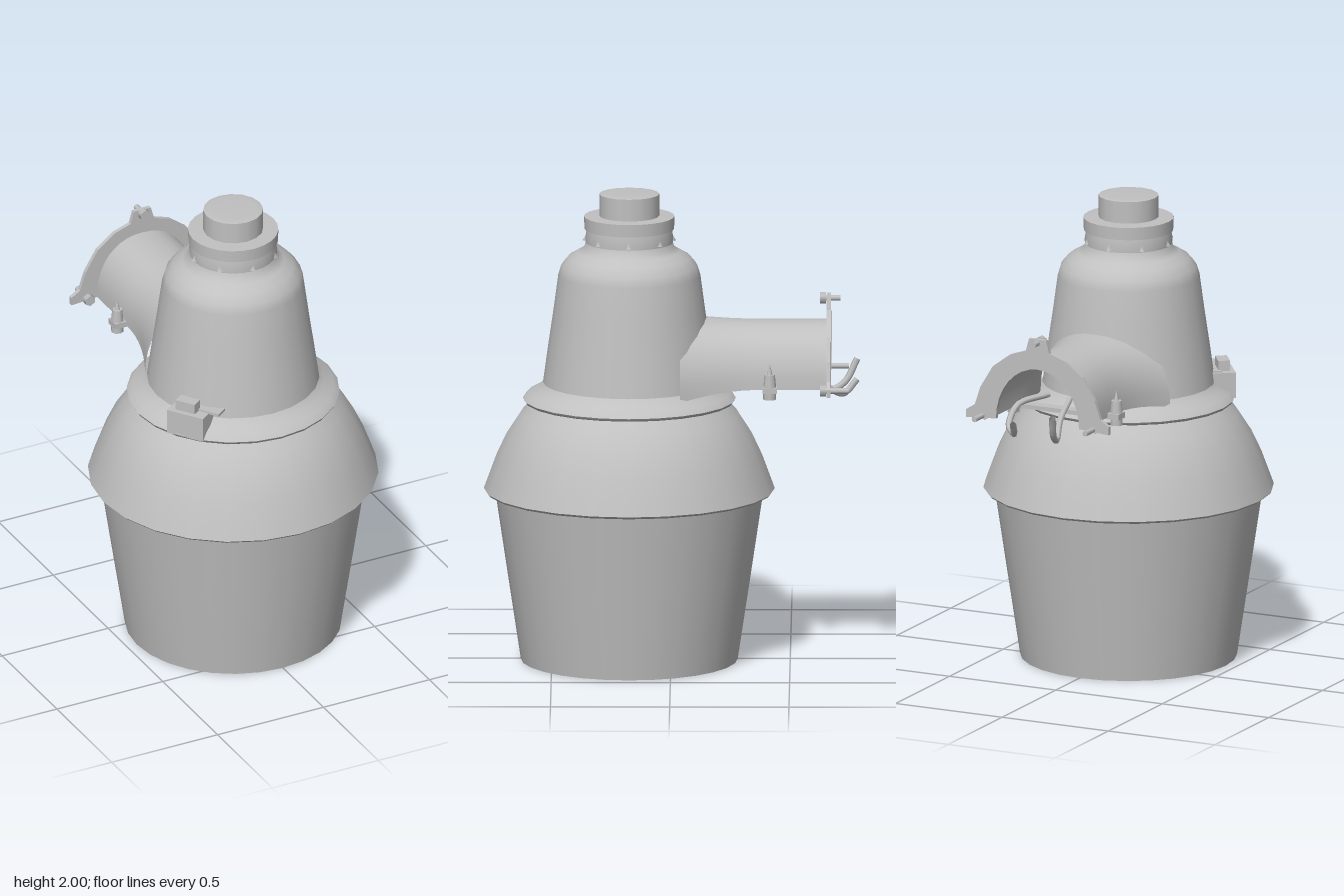
import * as THREE from 'three';

const AXIS_Z = 0.175; // the lamp hangs forward of the mounting flange

export function createModel() {
  const model = new THREE.Group();
  model.name = 'yardLamp';
  const grey = new THREE.MeshStandardMaterial({ color: 0xc0c0c0, side: THREE.DoubleSide });
  grey.name = 'grey metal';

  const add = (name, geometry, x = 0, y = 0, z = 0, parent = model) => {
    const mesh = new THREE.Mesh(geometry, grey);
    mesh.name = name;
    mesh.position.set(x, y, z);
    parent.add(mesh);
    return mesh;
  };
  const turned = (name, profile, sides = 24) =>
    add(name, new THREE.LatheGeometry(profile.map(p => new THREE.Vector2(...p)), sides), 0, 0, AXIS_Z);

  // Lens cup, open at the bottom
  turned('lens', [[0.455, 0.005], [0.51, 0.37], [0.565, 0.74]], 28);

  // Domed reflector hood with a turned-in rim
  turned('hoodRim', [[0.56, 0.735], [0.6, 0.725], [0.61, 0.735]]);
  turned('hood', [[0.61, 0.735], [0.59, 0.79], [0.557, 0.88], [0.515, 0.97], [0.46, 1.055], [0.4, 1.115]]);

  // Ballast housing with a skirt below and rounded shoulder above
  turned('skirtUnderside', [[0.36, 1.11], [0.44, 1.11], [0.447, 1.122]]);
  turned('skirt', [[0.447, 1.122], [0.425, 1.145], [0.385, 1.165], [0.362, 1.19]]);
  turned('housing', [[0.362, 1.19], [0.34, 1.35], [0.318, 1.5], [0.298, 1.65], [0.286, 1.69],
    [0.255, 1.727], [0.215, 1.75], [0.19, 1.765], [0.18, 1.8]]);

  // Photocell socket, collar and cap
  turned('socketNeck', [[0.18, 1.76], [0.185, 1.805], [0.178, 1.85]]);
  turned('collarUnderside', [[0.165, 1.846], [0.188, 1.846]]);
  turned('collar', [[0.188, 1.846], [0.19, 1.9]]);
  turned('collarTop', [[0.19, 1.9], [0.12, 1.902]]);
  turned('photocell', [[0.126, 1.9], [0.126, 1.995]], 16);
  turned('photocellTop', [[0.126, 1.995], [0.1, 2], [0, 2]], 16);
  // Small teeth hanging below the collar
  for (let i = 0; i < 8; i++) {
    const a = (i / 8) * Math.PI * 2;
    const tooth = add('collarTooth', new THREE.ConeGeometry(0.025, 0.04, 4),
      Math.sin(a) * 0.172, 1.815, AXIS_Z + Math.cos(a) * 0.172);
    tooth.rotation.y = a;
  }

  // Arched arm, open underneath, flaring into the housing
  const arm = new THREE.PlaneGeometry(1, 1, 20, 12);
  const pos = arm.attributes.position;
  for (let i = 0; i < pos.count; i++) {
    const a = (pos.getX(i) + 0.5) * Math.PI;
    const z = -0.66 + (pos.getY(i) + 0.5) * 0.62;
    const flare = Math.max(0, (z + 0.38) / 0.3) ** 2;
    const c = Math.cos(a);
    pos.setXYZ(i, Math.sign(c) * Math.abs(c) ** 0.9 * (0.215 + 0.07 * flare),
      1.2 - 0.03 * flare + (0.255 + 0.045 * flare) * Math.sin(a) ** 0.9, z);
  }
  arm.computeVertexNormals();
  add('arm', arm);

  // Horseshoe mounting flange with a top lobe and two feet
  const half = [[0.335, 1.19], [0.335, 1.225], [0.295, 1.25], [0.268, 1.33], [0.21, 1.425],
    [0.13, 1.485], [0.055, 1.51], [0.04, 1.565]];
  const outline = [...half, ...half.map(([x, y]) => [-x, y]).reverse()];
  for (let i = 0; i <= 16; i++) {
    const a = Math.PI - (i / 16) * Math.PI;
    outline.push([0.195 * Math.cos(a), 1.2 + 0.235 * Math.sin(a)]);
  }
  const plate = new THREE.Shape(outline.map(p => new THREE.Vector2(...p)));
  add('flange', new THREE.ExtrudeGeometry(plate, { depth: 0.018, bevelEnabled: false }), 0, 0, -0.671);

  // Flange bolts
  const bolt = (x, y, back) => {
    const length = back - 0.63;
    add('flangeBolt', new THREE.CylinderGeometry(0.012, 0.012, length, 8), x, y, -0.63 - length / 2)
      .rotation.x = Math.PI / 2;
    add('flangeBoltHead', new THREE.CylinderGeometry(0.024, 0.024, 0.025, 6), x, y, -0.638)
      .rotation.x = Math.PI / 2;
  };
  bolt(0, 1.55, 0.71);
  bolt(0.26, 1.205, 0.745);
  bolt(-0.26, 1.205, 0.745);

  // Clamp bolts either side of the arm
  for (const s of [-1, 1]) {
    const clamp = new THREE.Group();
    clamp.name = s > 0 ? 'leftClamp' : 'rightClamp';
    clamp.position.set(s * 0.242, 0, -0.415);
    model.add(clamp);
    add('clampLug', new THREE.BoxGeometry(0.07, 0.025, 0.06), -s * 0.01, 1.205, 0, clamp);
    add('clampHead', new THREE.CylinderGeometry(0.027, 0.027, 0.03, 8), 0, 1.18, 0, clamp);
    add('clampNut', new THREE.CylinderGeometry(0.022, 0.027, 0.055, 8), 0, 1.243, 0, clamp);
    add('clampTip', new THREE.ConeGeometry(0.012, 0.05, 8), 0, 1.293, 0, clamp);
  }
  // Strap under the arm joining the clamps
  add('clampStrap', new THREE.BoxGeometry(0.44, 0.018, 0.05), 0, 1.2, -0.415);

  // Loose wires coming out of the arm
  const wire = points => add('wire', new THREE.TubeGeometry(
    new THREE.CatmullRomCurve3(points.map(p => new THREE.Vector3(...p))), 16, 0.014, 6));
  wire([[-0.04, 1.26, -0.45], [-0.06, 1.2, -0.58], [-0.09, 1.14, -0.67], [-0.105, 1.17, -0.73], [-0.125, 1.265, -0.78]]);
  wire([[0.06, 1.27, -0.45], [0.13, 1.25, -0.6], [0.13, 1.18, -0.68], [0.08, 1.16, -0.73], [0.06, 1.215, -0.78]]);

  // Latch on the skirt
  const latch = new THREE.Group();
  latch.name = 'latch';
  latch.position.set(-0.315, 0, 0.4);
  latch.rotation.y = Math.atan2(-0.315, 0.4 - AXIS_Z);
  model.add(latch);
  add('latchBlock', new THREE.BoxGeometry(0.17, 0.11, 0.11), 0, 1.172, 0, latch);
  add('latchPlate', new THREE.BoxGeometry(0.2, 0.012, 0.06), 0.03, 1.228, -0.03, latch);
  add('latchKnob', new THREE.BoxGeometry(0.09, 0.045, 0.05), -0.01, 1.25, 0.01, latch);

  return model;
}
